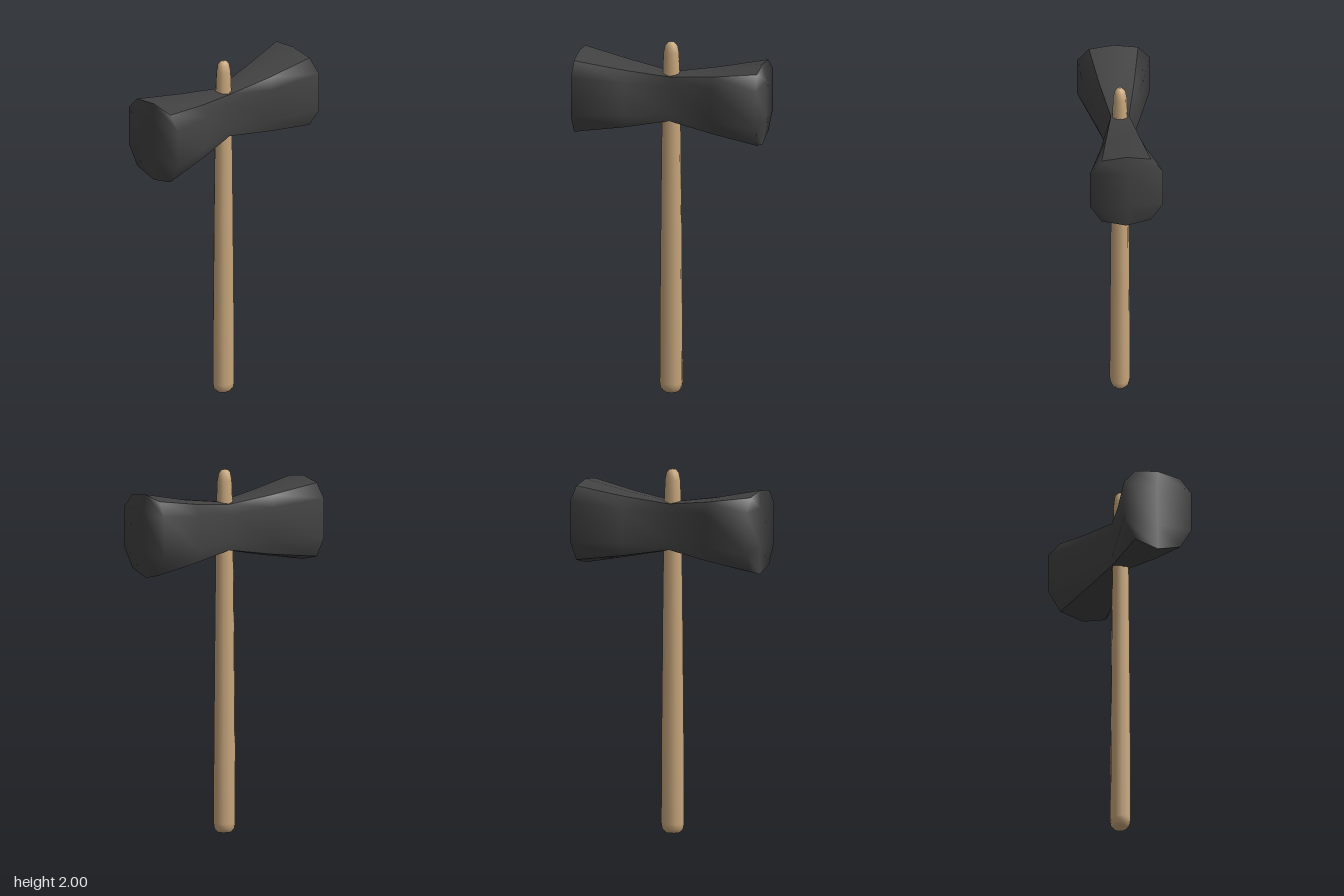
import * as THREE from 'three';

// Smooth surface through columns of points; columns run left to right, points run top to bottom
function skin(columns) {
  const rows = columns[0].length, index = [];
  for (let i = 0; i < columns.length - 1; i++) {
    for (let j = 0; j < rows - 1; j++) {
      const a = i * rows + j, d = a + rows;
      index.push(a, a + 1, d + 1, a, d + 1, d);
    }
  }
  const geo = new THREE.BufferGeometry();
  geo.setAttribute('position', new THREE.Float32BufferAttribute(columns.flat(2), 3));
  geo.setIndex(index);
  geo.computeVertexNormals();
  return geo;
}

// Head cross-sections: x at the top/bottom edges, x at the sides, then heights and half widths
const sections = [
  { xe: -0.518, xs: -0.52, crown: 1.915, top: 1.895, hi: 1.82, lo: 1.60, bottom: 1.49, keel: 1.455, ze: 0.133, zs: 0.198 },
  { xe: -0.25, xs: -0.25, crown: 1.857, top: 1.848, hi: 1.785, lo: 1.60, bottom: 1.523, keel: 1.505, ze: 0.092, zs: 0.122 },
  { xe: -0.01, xs: -0.01, crown: 1.82, top: 1.815, hi: 1.76, lo: 1.61, bottom: 1.563, keel: 1.557, ze: 0.049, zs: 0.052 },
  { xe: 0.24, xs: 0.24, crown: 1.857, top: 1.848, hi: 1.785, lo: 1.60, bottom: 1.523, keel: 1.505, ze: 0.092, zs: 0.122 },
  { xe: 0.497, xs: 0.508, crown: 1.913, top: 1.895, hi: 1.82, lo: 1.60, bottom: 1.49, keel: 1.455, ze: 0.133, zs: 0.198 },
];

// Centre line of an end face, where the front and back halves meet
const endLine = (s, xe, xs) => [[xe, s.crown, 0], [xs, s.hi, 0], [xs, s.lo, 0], [xe, s.keel, 0]];

export function createModel() {
  const group = new THREE.Group();
  const wood = new THREE.MeshStandardMaterial({ color: 0xc8a77d });
  wood.name = 'wood';
  const iron = new THREE.MeshStandardMaterial({ color: 0x424242 });
  iron.name = 'dark iron';

  const add = (parent, name, geo, mat) => {
    const mesh = new THREE.Mesh(geo, mat);
    mesh.name = name;
    parent.add(mesh);
    return mesh;
  };

  // Handle: tapered oval shaft with a rounded butt and tip
  const profile = [
    [0, 0.004], [0.042, 0.01], [0.058, 0.03], [0.063, 0.06], [0.062, 0.4], [0.056, 1.1],
    [0.051, 1.55], [0.047, 1.82], [0.042, 1.94], [0.034, 1.98], [0.018, 1.997], [0, 2],
  ].map(([r, y]) => new THREE.Vector2(r, y));
  const handle = add(group, 'handle', new THREE.LatheGeometry(profile, 10), wood);
  handle.scale.z = 0.88;
  handle.position.x = -0.01;

  // Head: flared on both sides, pinched around the handle
  const head = new THREE.Group();
  head.name = 'head';
  group.add(head);

  // Front and back cheeks, each wrapping onto half of both end faces
  const first = sections[0], last = sections[sections.length - 1];
  const front = [
    endLine(first, -0.518, -0.52),
    ...sections.map(s => [[s.xe, s.top, s.ze], [s.xs, s.hi, s.zs], [s.xs, s.lo, s.zs], [s.xe, s.bottom, s.ze]]),
    endLine(last, 0.497, 0.52),
  ];
  const back = front.map(col => col.map(([x, y, z]) => [x, y, -z])).reverse();
  add(head, 'frontCheek', skin(front), iron);
  add(head, 'backCheek', skin(back), iron);

  // Top and bottom faces
  add(head, 'topFace', skin(sections.map(s =>
    [[s.xe, s.top, -s.ze], [s.xe, s.crown, 0], [s.xe, s.top, s.ze]])), iron);
  add(head, 'bottomFace', skin(sections.map(s =>
    [[s.xe, s.bottom, s.ze], [s.xe, s.keel, 0], [s.xe, s.bottom, -s.ze]])), iron);

  return group;
}
